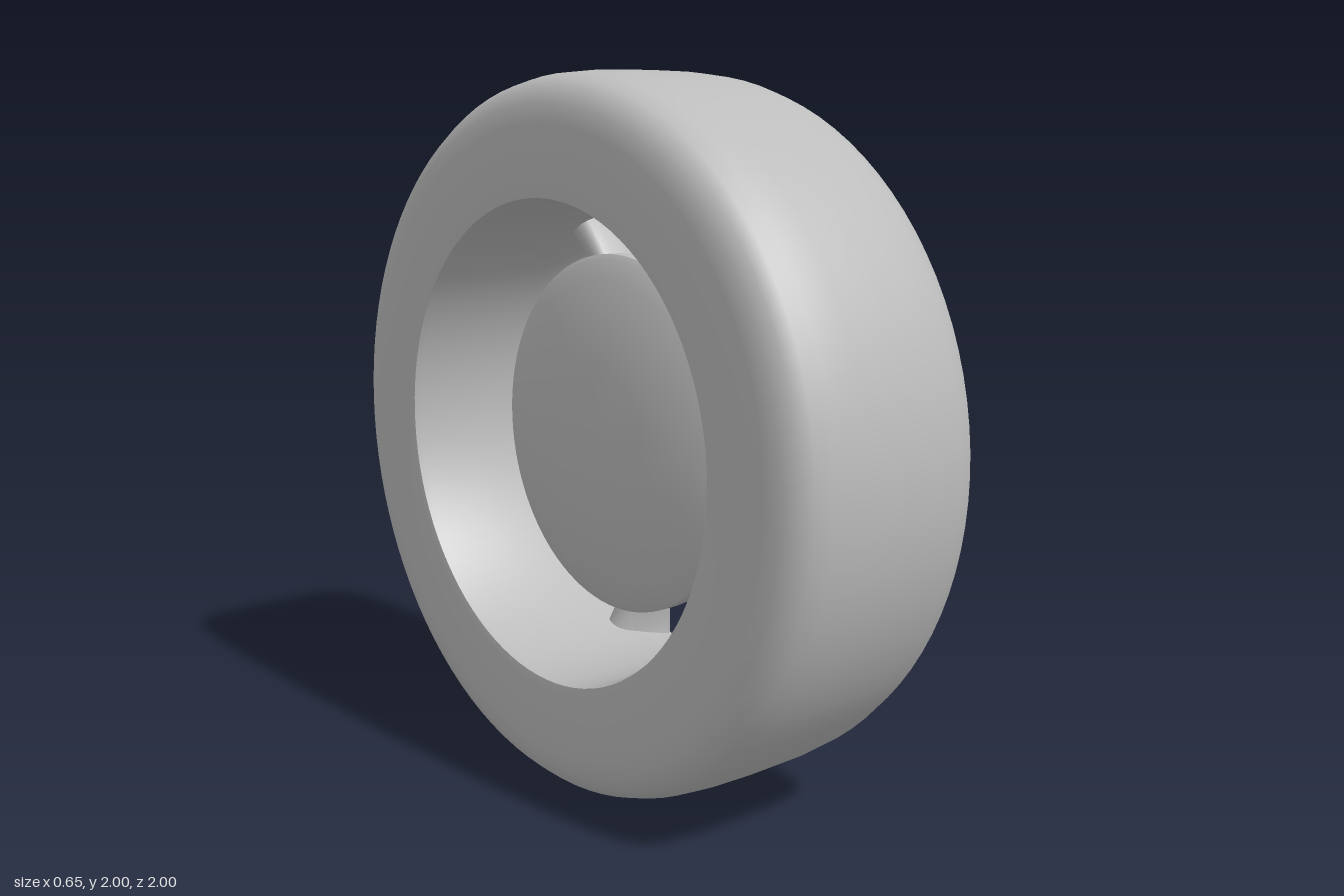
import * as THREE from 'three';
import { toCreasedNormals } from 'three/addons/utils/BufferGeometryUtils.js';

const SPOKES = 11;

// Revolve an (axial x, radius) profile about the wheel axis
function revolve(profile, crease) {
  const pts = profile.map(([x, r]) => new THREE.Vector2(r, x));
  const g = new THREE.LatheGeometry(pts, 96).rotateZ(-Math.PI / 2);
  return crease ? toCreasedNormals(g, crease) : g;
}

// Loft a rounded blade outward along +y.
// Each station: [radius, sideways offset, half width, back x, front x]
function blade(stations) {
  const n = 16, pos = [], idx = [];
  const soft = (v) => Math.sign(v) * Math.pow(Math.abs(v), 0.7);
  for (const [r, z, w, back, front] of stations) {
    for (let i = 0; i < n; i++) {
      const a = (i / n) * Math.PI * 2, c = soft(Math.cos(a)), s = soft(Math.sin(a));
      pos.push((back + front) / 2 + c * (front - back) / 2, r, z + s * w * (1 - 0.2 * c));
    }
  }
  for (let j = 0; j < stations.length - 1; j++) {
    for (let i = 0; i < n; i++) {
      const a = j * n + i, c = j * n + (i + 1) % n;
      idx.push(a, a + n, c, c, a + n, c + n);
    }
  }
  const g = new THREE.BufferGeometry();
  g.setAttribute('position', new THREE.Float32BufferAttribute(pos, 3));
  g.setIndex(idx);
  g.computeVertexNormals();
  return g;
}

export function createModel() {
  const wheel = new THREE.Group();
  wheel.name = 'wheel';
  wheel.position.y = 1;
  const grey = new THREE.MeshStandardMaterial({ color: 0xbcbcbc });
  grey.name = 'plain grey';
  const add = (name, geometry, parent = wheel) => {
    const m = new THREE.Mesh(geometry, grey);
    m.name = name;
    parent.add(m);
    return m;
  };

  // Tyre and rim barrel as one closed ring
  add('tyreAndRim', revolve([
    [-0.3, 0.658], [-0.322, 0.665], [-0.325, 0.69], [-0.325, 0.78], [-0.325, 0.86], [-0.318, 0.91],
    [-0.3, 0.95], [-0.27, 0.975], [-0.22, 0.99], [-0.13, 0.998], [0, 1], [0.13, 0.998],
    [0.22, 0.99], [0.27, 0.975], [0.3, 0.95], [0.318, 0.91], [0.325, 0.86], [0.324, 0.8],
    [0.317, 0.76], [0.3, 0.735], [0.27, 0.718], [0.2, 0.695], [0.12, 0.67], [0.06, 0.656],
    [-0.1, 0.655], [-0.3, 0.658],
  ], 0.7));

  // Spokes: one every eleventh of a turn, the top one split in two legs
  const spokes = new THREE.Group();
  spokes.name = 'spokes';
  wheel.add(spokes);
  const plain = blade([
    [0.12, 0, 0.05, 0.09, 0.225], [0.23, 0, 0.07, 0.09, 0.235], [0.28, 0, 0.06, 0.09, 0.24],
    [0.34, 0, 0.045, 0.09, 0.245], [0.45, 0, 0.037, 0.09, 0.255], [0.58, 0, 0.036, 0.08, 0.268],
    [0.66, 0, 0.042, 0.06, 0.28], [0.71, 0, 0.055, 0.04, 0.29], [0.76, 0, 0.08, 0.03, 0.295],
  ]);
  for (let k = 1; k < SPOKES; k++) {
    add('spoke', plain, spokes).rotation.x = (k / SPOKES) * Math.PI * 2;
  }
  for (const s of [-1, 1]) {
    add('splitSpokeLeg', blade([
      [0.15, s * 0.06, 0.045, 0.09, 0.225], [0.28, s * 0.068, 0.035, 0.09, 0.24],
      [0.4, s * 0.052, 0.033, 0.09, 0.25], [0.52, s * 0.033, 0.033, 0.085, 0.262],
      [0.64, s * 0.018, 0.034, 0.065, 0.278], [0.71, s * 0.018, 0.042, 0.04, 0.29],
      [0.76, s * 0.02, 0.06, 0.03, 0.295],
    ]), spokes);
  }
  add('splitSpokeWeb', blade([
    [0.18, 0, 0.07, 0.1, 0.21], [0.3, 0, 0.065, 0.1, 0.19],
    [0.42, 0, 0.05, 0.1, 0.2], [0.55, 0, 0.03, 0.1, 0.24], [0.66, 0, 0.02, 0.1, 0.265],
  ]), spokes);

  // Hub face with a shallow centre dish, and the boss behind it
  add('hub', revolve([
    [-0.06, 0.17], [0.08, 0.18], [0.09, 0.24], [0.13, 0.265], [0.18, 0.262], [0.215, 0.245],
    [0.235, 0.2], [0.24, 0.15], [0.235, 0.12], [0.228, 0.1], [0.228, 0],
  ], 0.8));

  // Low lug bumps around the hub
  const lug = new THREE.SphereGeometry(0.025, 16, 10);
  for (let k = 0; k < 5; k++) {
    const a = (k / 5) * Math.PI * 2 + Math.PI / 5;
    const m = add('lug', lug);
    m.position.set(0.235, Math.cos(a) * 0.155, Math.sin(a) * 0.155);
    m.scale.x = 0.6;
  }

  // Brake disc with a softly domed back
  add('brakeDisc', revolve([
    [-0.15, 0], [-0.145, 0.2], [-0.125, 0.36], [-0.1, 0.44], [-0.085, 0.49], [-0.075, 0.505],
    [-0.03, 0.505], [-0.02, 0.495], [-0.02, 0.3], [0.01, 0.26], [0.01, 0],
  ], 0.6));

  // Brake caliper on the forward side of the disc
  const a0 = Math.PI * 0.76, a1 = Math.PI * 1.08;
  const arc = new THREE.Shape();
  arc.absarc(0, 0, 0.5, a0, a1, false);
  arc.absarc(0, 0, 0.32, a1, a0, true);
  arc.closePath();
  const caliper = new THREE.ExtrudeGeometry(arc, {
    depth: 0.12, curveSegments: 24, bevelEnabled: true,
    bevelThickness: 0.02, bevelSize: 0.015, bevelSegments: 3,
  }).rotateY(Math.PI / 2).translate(-0.08, 0, 0);
  add('brakeCaliper', toCreasedNormals(caliper, 0.8));

  return wheel;
}
